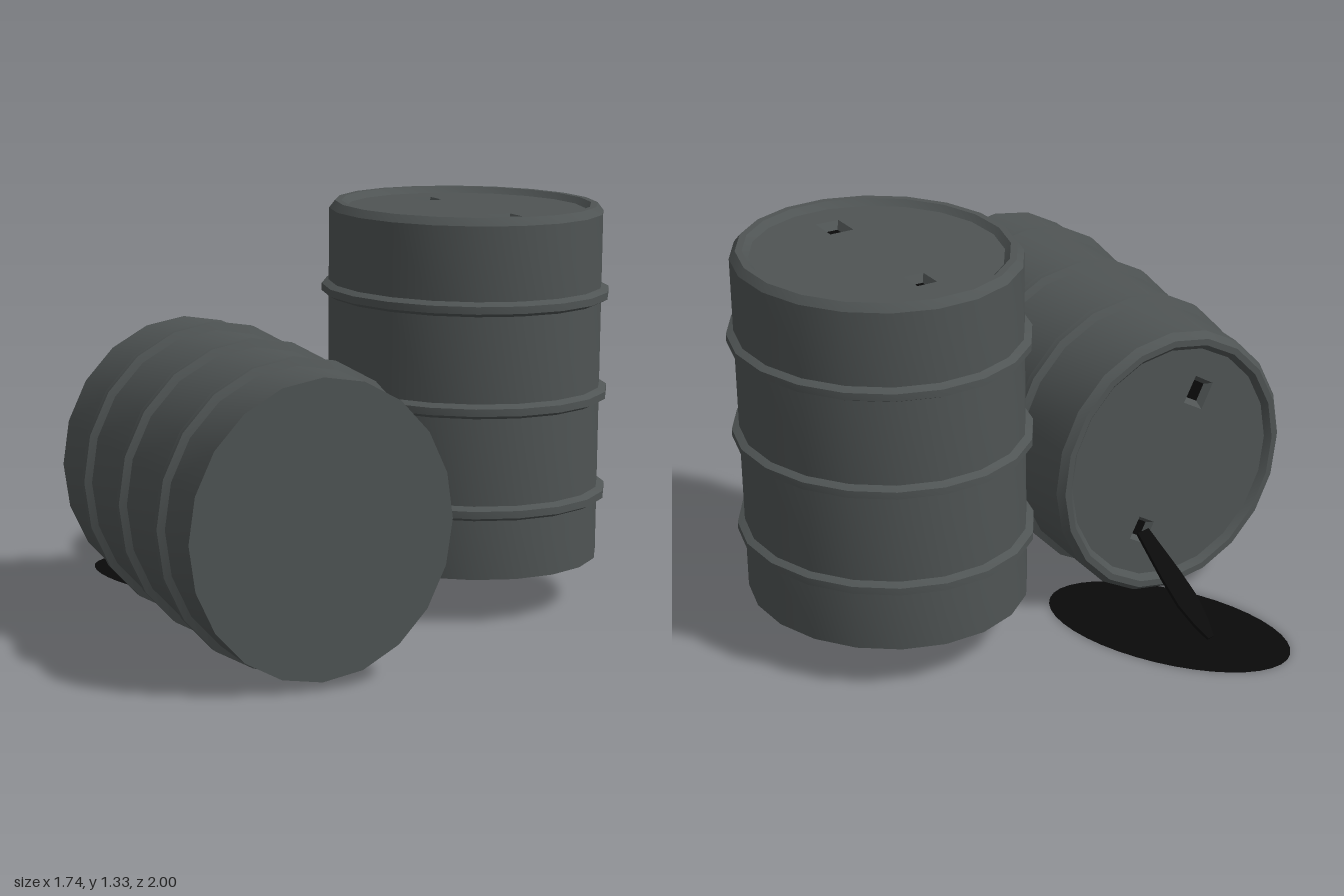
import * as THREE from 'three';
import { toCreasedNormals } from 'three/addons/utils/BufferGeometryUtils.js';

const R = 0.465;        // barrel wall radius (wide axis)
const H = 1.175;        // barrel height
const FLAT = 0.918;     // barrels are slightly oval
const SIDES = 20;
const LID_R = 0.404;
const LID_Y = H - 0.02;

const steel = new THREE.MeshStandardMaterial({ color: 0x4f5454 });
steel.name = 'dark grey steel';
const oil = new THREE.MeshStandardMaterial({ color: 0x0a0a0a, side: THREE.DoubleSide });
oil.name = 'black oil';

function addMesh(parent, name, geometry, material) {
  const mesh = new THREE.Mesh(geometry, material);
  mesh.name = name;
  parent.add(mesh);
  return mesh;
}

// Corners of a skewed bung opening, as (x, z) seen from above
function bungCorners(cx, cz, size) {
  return [[-0.055, 0.012], [-0.018, -0.05], [0.06, -0.01], [0.022, 0.05]]
    .map(([x, z]) => new THREE.Vector2(cx + x * size, (cz + z * size) / FLAT));
}

// Flat upward-facing sheet from (x, z) points
function sheet(points, holes = []) {
  const flip = (list) => list.map((p) => new THREE.Vector2(p.x, -p.y));
  const shape = new THREE.Shape(flip(points));
  shape.holes = holes.map((h) => new THREE.Path(flip(h)));
  return new THREE.ShapeGeometry(shape).rotateX(-Math.PI / 2);
}

// Sloping walls between an opening and its smaller floor
function bungWalls(outer, inner, depth) {
  const v = [];
  outer.forEach((a, i) => {
    const j = (i + 1) % outer.length;
    const b = outer[j], c = inner[j], d = inner[i];
    v.push(a.x, 0, a.y, d.x, -depth, d.y, c.x, -depth, c.y);
    v.push(a.x, 0, a.y, c.x, -depth, c.y, b.x, 0, b.y);
  });
  const g = new THREE.BufferGeometry();
  g.setAttribute('position', new THREE.Float32BufferAttribute(v, 3));
  g.computeVertexNormals();
  return g;
}

function makeBarrel(name) {
  const barrel = new THREE.Group();
  barrel.name = name;

  // Wall with three raised hoops and a bevelled rim
  const profile = [[0, 0], [R, 0]];
  for (const y of [0.22, 0.555, 0.885]) {
    profile.push([R, y - 0.024], [R + 0.024, y - 0.012], [R + 0.024, y + 0.012], [R, y + 0.024]);
  }
  profile.push([R, H - 0.025], [R - 0.02, H], [R - 0.042, H], [LID_R, LID_Y]);
  const lathe = new THREE.LatheGeometry(profile.map(([x, y]) => new THREE.Vector2(x, y)), SIDES);
  addMesh(barrel, 'barrelWall', toCreasedNormals(lathe, 0.6), steel);

  // Lid with two recessed bungs
  const ring = [];
  for (let i = 0; i < SIDES; i++) {
    const a = (i / SIDES) * Math.PI * 2;
    ring.push(new THREE.Vector2(Math.sin(a) * LID_R, Math.cos(a) * LID_R));
  }
  const bungs = [[-0.225, -0.105, 0.92], [0.225, 0.105, 1.1]];
  const openings = bungs.map((b) => bungCorners(...b));
  addMesh(barrel, 'lid', sheet(ring, openings), steel).position.y = LID_Y;
  bungs.forEach(([x, z, size], i) => {
    const floor = bungCorners(x, z, size * 0.65);
    addMesh(barrel, 'bungWalls', bungWalls(openings[i], floor, 0.025), steel).position.y = LID_Y;
    addMesh(barrel, 'bungOpening', sheet(floor), oil).position.y = LID_Y - 0.025;
  });

  barrel.scale.z = FLAT;
  return barrel;
}

export function createModel() {
  const model = new THREE.Group();
  model.name = 'oilBarrels';

  const upright = makeBarrel('uprightBarrel');
  upright.position.set(0.372, 0.16, -0.553);
  model.add(upright);

  // Toppled barrel: its lid points to the back and -x
  const lying = makeBarrel('lyingBarrel');
  const axis = new THREE.Vector3(-0.866, 0, -0.5);
  const up = new THREE.Vector3(0, 1, 0);
  const side = new THREE.Vector3().crossVectors(up, axis);
  lying.quaternion.setFromRotationMatrix(new THREE.Matrix4().makeBasis(up, axis, side));
  lying.position.set(0.15, 0.494, 0.335).addScaledVector(axis, -H / 2);
  model.add(lying);

  // Oil puddle on the ground
  const puddle = addMesh(model, 'oilPuddle', new THREE.CircleGeometry(1, 40).rotateX(-Math.PI / 2), oil);
  puddle.scale.set(0.43, 1, 0.222);
  puddle.position.set(-0.44, 0.002, -0.136);

  // Thin stream running from the lower bung to the puddle
  const tip = new THREE.Vector3(-0.6, 0.008, -0.145);
  const along = new THREE.Vector3(-0.295, 0.272, -0.047).sub(tip);
  const len = along.length();
  along.normalize();
  const half = [[0.012, 0], [0.03, 0.06], [0.043, 0.14], [0.04, 0.24], [0.024, len]];
  const outline = [...half, ...half.map(([x, y]) => [-x, y]).reverse()];
  const leaf = new THREE.ExtrudeGeometry(
    new THREE.Shape(outline.map(([x, y]) => new THREE.Vector2(x, y))),
    { depth: 0.012, bevelEnabled: false }
  ).translate(0, 0, -0.006);
  const stream = addMesh(model, 'oilStream', leaf, oil);
  const across = new THREE.Vector3().crossVectors(along, up).normalize();
  const normal = new THREE.Vector3().crossVectors(across, along);
  stream.quaternion.setFromRotationMatrix(new THREE.Matrix4().makeBasis(across, along, normal));
  stream.position.copy(tip);

  return model;
}
